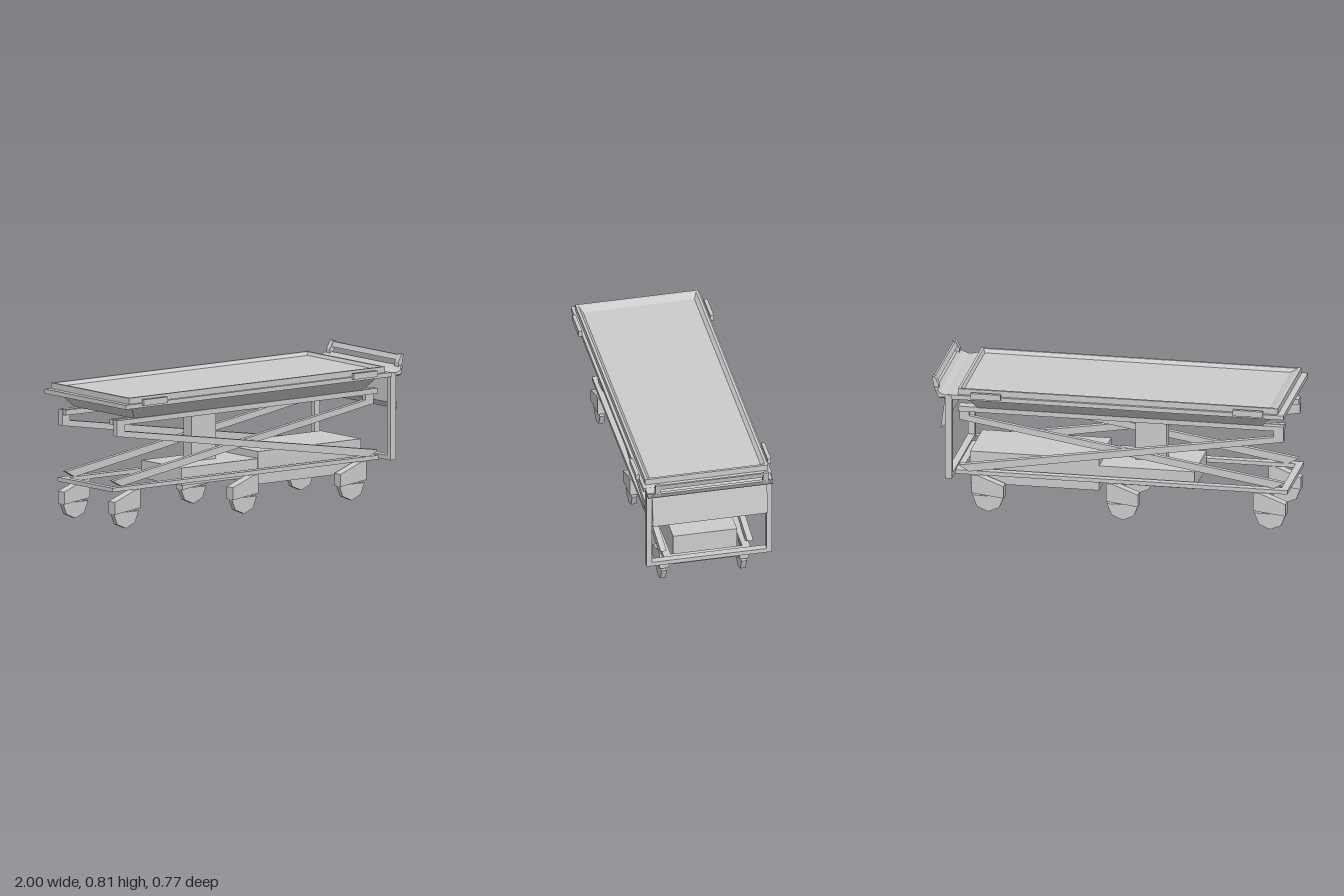
import * as THREE from 'three';

const material = new THREE.MeshStandardMaterial({ color: 0xcccccc, flatShading: true, side: THREE.DoubleSide });

function add(parent, name, geometry) {
  const mesh = new THREE.Mesh(geometry, material);
  mesh.name = name;
  parent.add(mesh);
  return mesh;
}

// Box given by its limits on each axis
function box(parent, name, x0, x1, y0, y1, z0, z1) {
  const mesh = add(parent, name, new THREE.BoxGeometry(x1 - x0, y1 - y0, z1 - z0));
  mesh.position.set((x0 + x1) / 2, (y0 + y1) / 2, (z0 + z1) / 2);
  return mesh;
}

// Side profile in x and y, extruded from z0 to z1
function profile(parent, name, points, z0, z1) {
  const shape = new THREE.Shape(points.map(([x, y]) => new THREE.Vector2(x, y)));
  const geometry = new THREE.ExtrudeGeometry(shape, { depth: z1 - z0, bevelEnabled: false });
  geometry.translate(0, 0, z0);
  return add(parent, name, geometry);
}

// Solid through rectangular rings [x0, x1, half width, y]
function rectLoft(parent, name, rings) {
  const positions = [], index = [];
  for (const [x0, x1, w, y] of rings) positions.push(x1, y, w, x1, y, -w, x0, y, -w, x0, y, w);
  for (let r = 0; r < rings.length - 1; r++) {
    for (let i = 0; i < 4; i++) {
      const a = r * 4 + i, b = r * 4 + (i + 1) % 4;
      index.push(a, b, b + 4, a, b + 4, a + 4);
    }
  }
  const t = (rings.length - 1) * 4;
  index.push(0, 2, 1, 0, 3, 2, t, t + 1, t + 2, t, t + 2, t + 3);
  const geometry = new THREE.BufferGeometry();
  geometry.setAttribute('position', new THREE.Float32BufferAttribute(positions, 3));
  geometry.setIndex(index);
  geometry.computeVertexNormals();
  return add(parent, name, geometry);
}

// Housing with a half-octagon wheel below it
function caster(parent, x, z) {
  const group = new THREE.Group();
  group.name = 'caster';
  profile(group, 'casterHousing',
    [[-0.09, 0.09], [0.092, 0.112], [0.092, 0.217], [0.06, 0.217], [-0.09, 0.16]], -0.028, 0.028);
  const rim = [];
  for (let i = 0; i <= 4; i++) {
    const a = Math.PI * (1 + i / 4);
    rim.push([0.089 * Math.cos(a), 0.095 + 0.092 * Math.sin(a)]);
  }
  profile(group, 'casterWheel', rim, -0.015, 0.015);
  group.position.set(x, 0, z);
  parent.add(group);
}

export function createModel() {
  const model = new THREE.Group();
  model.name = 'scissorLiftTrolley';

  // Bed: slab, rimmed tray on top, tapered trough below
  box(model, 'bedFrame', -1, 0.88, 0.697, 0.722, -0.367, 0.367);
  rectLoft(model, 'tray', [
    [-0.965, 0.847, 0.35, 0.722], [-0.965, 0.847, 0.35, 0.756],
    [-0.95, 0.832, 0.335, 0.756], [-0.906, 0.822, 0.317, 0.737]]);
  rectLoft(model, 'trough', [[-0.865, 0.75, 0.27, 0.622], [-0.93, 0.815, 0.33, 0.7]]);

  for (const s of [1, -1]) {
    for (const x of [-0.8, 0.685]) {
      box(model, 'sideGrip', x - 0.085, x + 0.085, 0.71, 0.744, s * 0.375 - 0.01, s * 0.375 + 0.01);
    }
  }

  // Scissor: each side has an outer arm and a mirrored inner arm, with rails and end blocks
  const arm = [[-0.98, 0.62], [-0.98, 0.53], [0.8, 0.24], [0.862, 0.275],
    [-0.925, 0.555], [-0.925, 0.592], [0.862, 0.592], [0.862, 0.622]];
  const mirrored = arm.map(([x, y]) => [-0.118 - x, y]);
  for (const s of [1, -1]) {
    const outer = s * 0.247, inner = s * 0.211;
    profile(model, 'outerScissorArm', arm, outer - 0.017, outer + 0.017);
    profile(model, 'innerScissorArm', mirrored, inner - 0.014, inner + 0.014);
  }

  // Base frame
  for (const s of [1, -1]) {
    box(model, 'baseRail', -1, 0.885, 0.217, 0.24, s * 0.225 - 0.022, s * 0.225 + 0.022);
  }
  box(model, 'baseCrossBar', -1, -0.96, 0.217, 0.24, -0.247, 0.247);
  box(model, 'baseCrossBar', 0.845, 0.885, 0.217, 0.24, -0.247, 0.247);

  // Lift unit
  box(model, 'liftColumn', -0.275, -0.1, 0.29, 0.622, -0.035, 0.035);
  box(model, 'pumpBox', -0.46, 0.08, 0.192, 0.292, -0.18, 0.18);
  box(model, 'batteryBox', 0.08, 0.81, 0.147, 0.332, -0.182, 0.182);

  for (const x of [-0.9, -0.065, 0.697]) {
    for (const s of [1, -1]) caster(model, x, s * 0.228);
  }

  // End frame and flap
  for (const s of [1, -1]) {
    box(model, 'endPost', 0.88, 0.92, 0.225, 0.71, s * 0.342 - 0.015, s * 0.342 + 0.015);
  }
  box(model, 'endBottomBar', 0.88, 0.92, 0.225, 0.25, -0.33, 0.33);
  profile(model, 'endFlap', [[0.918, 0.695], [0.921, 0.54], [0.95, 0.506], [0.925, 0.695]], -0.327, 0.327);

  // Curved end lip, narrowed along its lower and outer edges
  const lip = profile(model, 'endLip',
    [[0.875, 0.71], [0.918, 0.685], [0.955, 0.7], [0.975, 0.722], [0.988, 0.745],
      [0.972, 0.748], [0.95, 0.727], [0.92, 0.716], [0.875, 0.722]], -0.356, 0.356);
  const p = lip.geometry.attributes.position;
  for (let i = 0; i < p.count; i++) {
    if (p.getY(i) < 0.69 || p.getX(i) > 0.96) p.setZ(i, Math.sign(p.getZ(i)) * 0.33);
  }
  lip.geometry.computeVertexNormals();

  // Push handle
  for (const s of [1, -1]) {
    profile(model, 'handleBracket',
      [[0.962, 0.74], [0.985, 0.735], [1, 0.808], [0.986, 0.808], [0.962, 0.765]], s * 0.307 - 0.016, s * 0.307 + 0.016);
  }
  profile(model, 'handleBar', [[0.972, 0.775], [0.988, 0.772], [0.996, 0.803], [0.985, 0.803]], -0.292, 0.292);

  return model;
}
